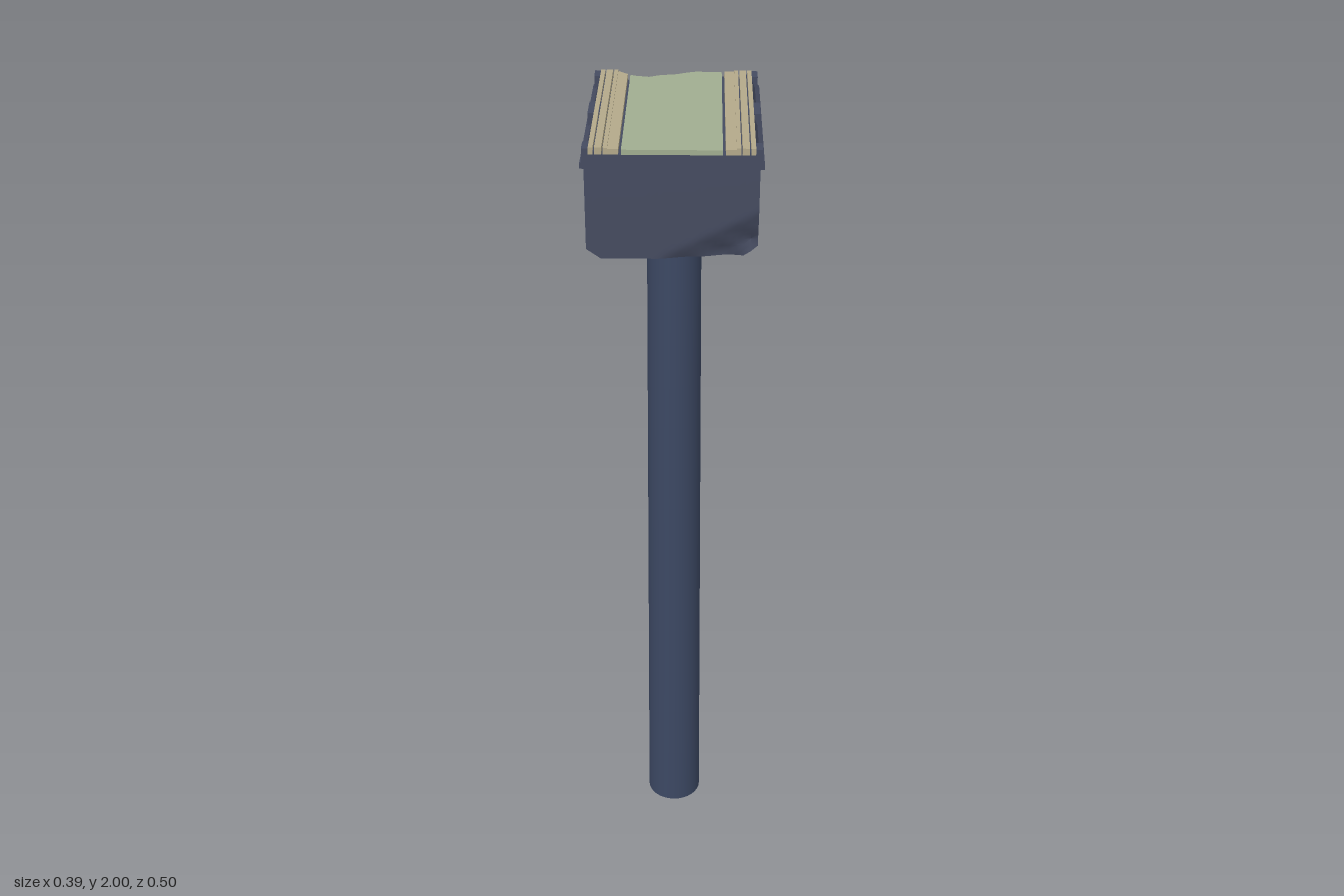
import * as THREE from 'three';
import { toCreasedNormals } from 'three/addons/utils/BufferGeometryUtils.js';

const paint = (color) => new THREE.MeshStandardMaterial({ color, side: THREE.DoubleSide });
const stone = paint(0x454b60);
const shaftBlue = paint(0x3c4863);
const tan = paint(0xb3a98a);
const sage = paint(0xa0ad90);
const clamp = THREE.MathUtils.clamp;

// Depth of the broken area on the back end
function backChip(x, y) {
  const t = clamp((2 - y) / 0.25, 0, 1);
  const inner = 0.045 - 0.05 * t;
  const outer = -0.135 - 0.09 * t;
  const u = (x - outer) / (inner - outer);
  if (u <= 0 || u >= 1) return 0;
  const rough = 0.85 + 0.15 * Math.sin(x * 70 + y * 40) * Math.cos(y * 55 - x * 30);
  return 0.045 * Math.min(1, u * 4, (1 - u) * 1.7) * rough;
}

// Depth of the worn lower corner on the front end
function frontChip(x, y) {
  const rough = 0.85 + 0.15 * Math.sin(x * 60 + y * 90);
  return 0.025 * clamp((1.765 + 0.5 * x - y) / 0.06, 0, 1) * rough;
}

// Pushes a geometry's ends back to the chipped surfaces
function wear(geometry, limit = 0.05) {
  const p = geometry.attributes.position;
  for (let i = 0; i < p.count; i++) {
    const x = p.getX(i), y = p.getY(i);
    const back = -0.25 + Math.min(limit, backChip(x, y));
    const front = 0.25 - frontChip(x, y);
    p.setZ(i, clamp(p.getZ(i), back, front));
  }
  return toCreasedNormals(geometry, 0.6);
}

function box(x0, x1, y0, y1, z0, z1, sx = 1, sy = 1, sz = 1) {
  return new THREE.BoxGeometry(x1 - x0, y1 - y0, z1 - z0, sx, sy, sz)
    .translate((x0 + x1) / 2, (y0 + y1) / 2, (z0 + z1) / 2);
}

export function createModel() {
  const group = new THREE.Group();
  const add = (name, geometry, material = stone) => {
    const mesh = new THREE.Mesh(geometry, material);
    mesh.name = name;
    group.add(mesh);
  };

  // Round shaft, narrowing slightly sideways towards the head
  const shaft = new THREE.CylinderGeometry(0.07, 0.07, 1.77, 32, 4).translate(0, 0.885, 0);
  const sp = shaft.attributes.position;
  for (let i = 0; i < sp.count; i++) {
    sp.setX(i, sp.getX(i) * (1.01 - 0.12 * sp.getY(i) / 1.77));
  }
  add('shaft', toCreasedNormals(shaft, 0.6), shaftBlue);

  // Recessed head block between the end frames
  add('headCore', box(-0.168, 0.168, 1.77, 1.985, -0.21, 0.21));

  // End frames with cut lower corners and a wider upper lip
  for (const s of [-1, 1]) {
    const [z0, z1] = s > 0 ? [0.21, 0.25] : [-0.25, -0.21];
    const frame = box(-0.185, 0.185, 1.75, 1.955, z0, z1, 24, 16, 2);
    const p = frame.attributes.position;
    for (let i = 0; i < p.count; i++) {
      const cut = Math.max(0, Math.abs(p.getX(i)) - 0.154);
      p.setY(i, Math.max(p.getY(i), 1.75 + cut * 0.7));
    }
    add('endFrame', wear(frame, 0.04));
    add('endLip', wear(box(-0.189, 0.189, 1.955, 1.985, z0, z1, 24, 3, 2), 0.04));
  }

  // Side rims: a ledge with a sloping upper face
  const rim = new THREE.Shape([
    [0.16, 1.95], [0.194, 1.955], [0.194, 1.965], [0.183, 1.973], [0.175, 1.992], [0.16, 1.992],
  ].map(([x, y]) => new THREE.Vector2(x, y - 0.001)));
  for (const s of [-1, 1]) {
    const g = new THREE.ExtrudeGeometry(rim, { depth: 0.498, bevelEnabled: false });
    g.translate(0, 0, -0.249);
    if (s < 0) g.rotateY(Math.PI);
    add('sideRim', g);

    // Raised middle strap and top corner ears on each side
    const span = (a, b) => (s > 0 ? [a, b] : [-b, -a]);
    add('middleStrap', box(...span(0.16, 0.189), 1.768, 1.998, -0.037, 0.037));
    for (const [z0, z1] of [[-0.25, -0.21], [0.21, 0.25]]) {
      add('cornerEar', box(...span(0.175, 0.189), 1.985, 1.998, z0, z1));
    }

    // Long strips on top, parted by narrow grooves
    for (const [a, b, top] of [[0.112, 0.135, 1.997], [0.135, 0.144, 2], [0.147, 0.162, 2], [0.165, 0.175, 2]]) {
      add('topStrip', wear(box(...span(a, b), 1.985, top, -0.25, 0.25, 3)), tan);
    }
  }

  // Flat centre panel
  add('topPanel', wear(box(-0.106, 0.106, 1.985, 1.996, -0.25, 0.25, 24, 1, 1)), sage);

  return group;
}
